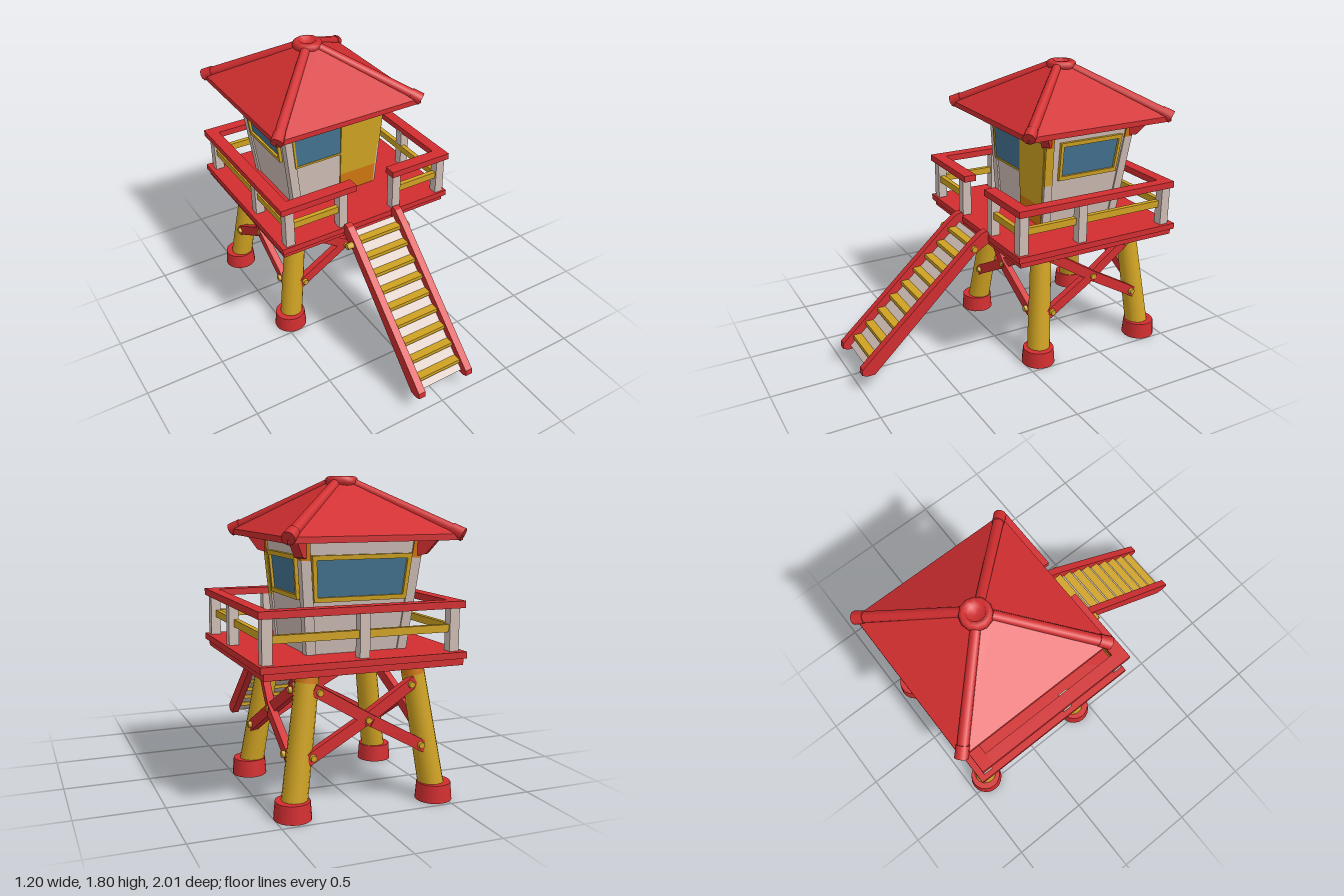
import * as THREE from 'three';

const mat = (name, color) => {
  const m = new THREE.MeshStandardMaterial({ color });
  m.name = name;
  return m;
};
const V = (x, y, z) => new THREE.Vector3(x, y, z);
const lerp = THREE.MathUtils.lerp;

export function createModel() {
  const red = mat('red paint', 0xd22e30), yellow = mat('yellow paint', 0xcfa222);
  const white = mat('off-white paint', 0xcebcb4), blue = mat('window blue', 0x437390);
  const orange = mat('worn orange', 0xd07810);
  const root = new THREE.Group();
  root.name = 'lifeguardTower';

  const add = (name, geo, material, parent = root) => {
    const m = new THREE.Mesh(geo, material);
    m.name = name;
    parent.add(m);
    return m;
  };
  // Box given by its limits on each axis
  const box = (name, material, x0, x1, y0, y1, z0, z1) => {
    const m = add(name, new THREE.BoxGeometry(x1 - x0, y1 - y0, z1 - z0), material);
    m.position.set((x0 + x1) / 2, (y0 + y1) / 2, (z0 + z1) / 2);
  };
  // Round bar from a (radius ra) to b (radius rb)
  const rod = (name, material, a, b, ra, rb = ra, sides = 12) => {
    const m = add(name, new THREE.CylinderGeometry(rb, ra, a.distanceTo(b), sides), material);
    m.position.copy(a).lerp(b, 0.5);
    m.quaternion.setFromUnitVectors(V(0, 1, 0), b.clone().sub(a).normalize());
  };
  // Square bar from a to b
  const beam = (name, material, a, b, w, h) => {
    const m = add(name, new THREE.BoxGeometry(w, h, a.distanceTo(b)), material);
    m.position.copy(a).lerp(b, 0.5);
    m.lookAt(b);
  };

  // Splayed legs with round feet
  const CX = -0.026, CZ = -0.49;
  const legX = (y) => lerp(0.424, 0.31, y / 0.77), legZ = (y) => lerp(0.39, 0.315, y / 0.77);
  const corners = [[-1, -1], [1, -1], [1, 1], [-1, 1]];
  for (const [sx, sz] of corners) {
    const at = (y) => V(CX + sx * legX(y), y, CZ + sz * legZ(y));
    rod('leg', yellow, at(0.05), at(0.715), 0.073, 0.065, 16);
    rod('legTop', orange, at(0.715), at(0.79), 0.065, 0.063, 16);
    const f = at(0);
    rod('foot', red, f, V(f.x, 0.1, f.z), 0.104, 0.096, 20);
  }

  // Crossed braces, bowed outward, with bolts on all four sides
  for (let k = 0; k < 4; k++) {
    const along = k % 2 ? legZ : legX, out = k % 2 ? legX : legZ;
    const a = k * Math.PI / 2;
    const place = (s, y, off) => {
      const p = V(s * (along(y) - 0.055), y, out(y) + off).applyAxisAngle(V(0, 1, 0), a);
      return p.add(V(CX, 0, CZ));
    };
    const n = V(0, 0, 1).applyAxisAngle(V(0, 1, 0), a);
    const bolt = (p, length) => rod('braceBolt', yellow, p, p.clone().addScaledVector(n, length), 0.024, 0.018, 8);
    for (const s of [-1, 1]) {
      const low = place(s, 0.33, 0.042), high = place(-s, 0.67, 0.042);
      const mid = low.clone().lerp(high, 0.5).addScaledVector(n, 0.016 + s * 0.006).add(V(0, -0.006, 0));
      const ext = low.clone().sub(mid).multiplyScalar(0.1);
      beam('brace', red, low.clone().add(ext), mid, 0.042, 0.064);
      beam('brace', red, mid, high.clone().sub(ext), 0.042, 0.064);
      bolt(low, 0.04);
      bolt(high, 0.04);
    }
    bolt(V(CX, 0.502, CZ).addScaledVector(n, out(0.502) + 0.055), 0.036);
  }

  // Two-layer deck
  box('deckBase', red, -0.585, 0.575, 0.77, 0.812, -0.94, 0.14);
  box('deck', red, -0.6, 0.595, 0.808, 0.845, -0.952, 0.16);

  // Railing: posts, top rails and middle rails, with a gap for the stairs
  const X0 = -0.54, X1 = 0.545, ZF = 0.118, ZB = -0.885;
  const posts = [[X0, ZF], [-0.175, ZF], [0.21, ZF], [X1, ZF], [X1, -0.28], [X1, ZB],
    [0, ZB], [X0, ZB], [X0, -0.28]];
  for (const [x, z] of posts) box('railPost', white, x - 0.029, x + 0.029, 0.845, 1.09, z - 0.029, z + 0.029);
  const T = [1.085, 1.125], M = [0.952, 0.995];
  box('frontRail', red, -0.6, -0.09, ...T, 0.083, 0.162);
  box('frontRail', red, 0.17, 0.595, ...T, 0.083, 0.162);
  box('backRail', red, -0.6, 0.595, ...T, -0.925, -0.85);
  box('sideRail', red, -0.6, -0.525, ...T, -0.85, 0.083);
  box('sideRail', red, 0.525, 0.595, ...T, -0.85, 0.083);
  box('middleRail', yellow, X0, -0.175, ...M, 0.105, 0.135);
  box('middleRail', yellow, 0.21, X1, ...M, 0.105, 0.135);
  box('middleRail', yellow, X0, X1, ...M, -0.9, -0.87);
  for (const x of [X0, 0.53]) box('middleRail', yellow, x - 0.015, x + 0.015, ...M, ZB, ZF);

  // Cabin, widening upward; panels follow the sloping walls
  const cabin = new THREE.Group();
  cabin.name = 'cabin';
  cabin.position.x = -0.034;
  root.add(cabin);
  const Y0 = 0.845, Y1 = 1.5;
  const rise = (y) => (y - Y0) / 0.615;
  const halfW = (y) => lerp(0.29, 0.352, rise(y)), halfD = (y) => lerp(0.264, 0.308, rise(y));
  const midZ = (y) => lerp(-0.465, -0.49, rise(y));
  // Moves each vertex of a box by a rule, then refreshes its normals
  const reshape = (g, rule) => {
    const p = g.attributes.position;
    for (let i = 0; i < p.count; i++) p.setXYZ(i, ...rule(p.getX(i), p.getY(i), p.getZ(i)));
    g.computeVertexNormals();
    return g;
  };
  const panel = (name, material, k, u0, u1, y0, y1, out, depth = 0.009) => {
    const W = k % 2 ? halfD : halfW, D = k % 2 ? halfW : halfD;
    const g = reshape(new THREE.BoxGeometry(1, 1, 1), (a, b, c) => {
      const y = lerp(y0, y1, b + 0.5);
      return [lerp(u0, u1, a + 0.5) * W(y), y, D(y) + out + (c - 0.5) * depth];
    });
    g.rotateY(k * Math.PI / 2);
    add(name, reshape(g, (x, y, z) => [x, y, z + midZ(y)]), material, cabin);
  };
  add('cabinWalls', reshape(new THREE.BoxGeometry(2, Y1 - Y0, 2), (x, b, z) => {
    const y = b + (Y0 + Y1) / 2;
    return [x * halfW(y), y, midZ(y) + z * halfD(y)];
  }), white, cabin);

  // Windows framed in yellow
  const framedWindow = (k, u0, u1, y0, y1) => {
    const f = 0.07, h = 0.026;
    panel('windowGlass', blue, k, u0, u1, y0, y1, 0.005);
    panel('windowFrameTop', yellow, k, u0 - f, u1 + f, y1, y1 + h, 0.02, 0.03);
    panel('windowFrameBottom', yellow, k, u0 - f, u1 + f, y0 - h, y0, 0.02, 0.03);
    panel('windowFrameSide', yellow, k, u0 - f, u0, y0, y1, 0.02, 0.03);
    panel('windowFrameSide', yellow, k, u1, u1 + f, y0, y1, 0.02, 0.03);
  };
  framedWindow(1, -0.63, 0.69, 1.17, 1.36);
  framedWindow(3, -0.69, 0.63, 1.17, 1.36);
  framedWindow(2, -0.78, 0.78, 1.16, 1.36);
  panel('frontWindowGlass', blue, 0, -0.85, 0.11, 1.145, 1.36, 0.012);
  panel('frontLintel', yellow, 0, -0.9, 0.92, 1.36, 1.385, 0.018, 0.03);
  panel('frontWindowSide', yellow, 0, -0.89, -0.85, 1.132, 1.36, 0.018, 0.02);
  panel('frontWindowSill', yellow, 0, -0.85, 0.12, 1.132, 1.145, 0.016, 0.02);
  panel('door', yellow, 0, 0.12, 0.98, 0.98, 1.36, 0.015);
  panel('doorWornBase', orange, 0, 0.12, 0.98, 0.845, 0.98, 0.015);

  // Corner posts with worn tops, and brackets carrying the roof
  const bracket = new THREE.Shape([[0, 1.37], [0.045, 1.38], [0.12, 1.47], [0, 1.47]].map(([x, y]) => new THREE.Vector2(x, y)));
  for (const [sx, sz] of corners) {
    const at = (y) => V(sx * (halfW(y) - 0.018), y, midZ(y) + sz * (halfD(y) - 0.018));
    const post = (name, material, a, b) => add(name, reshape(new THREE.BoxGeometry(0.056, b - a, 0.056), (x, h, z) => {
      const q = at(h + (a + b) / 2);
      return [x + q.x, q.y, z + q.z];
    }), material, cabin);
    post('cornerPost', white, 0.845, 1.12);
    post('cornerPost', sx > 0 && sz > 0 ? yellow : white, 1.12, 1.36);
    post('cornerPostTop', orange, 1.36, 1.47);
    const g = new THREE.ExtrudeGeometry(bracket, { depth: 0.05, bevelEnabled: false });
    g.translate(0, 0, -0.025);
    const b = add('roofBracket', g, red, cabin);
    b.rotation.y = Math.atan2(-sz, sx);
    const q = at(1.42);
    b.position.set(q.x + sx * 0.012, 0, q.z + sz * 0.012);
  }

  // Hipped roof with round ridges and a ring on top
  const RX = -0.039, RZ = -0.478;
  box('roofEave', red, RX - 0.495, RX + 0.495, 1.462, 1.495, RZ - 0.505, RZ + 0.505);
  const hip = new THREE.CylinderGeometry(0.06 * Math.SQRT2, 0.495 * Math.SQRT2, 0.275, 4, 1).toNonIndexed();
  hip.rotateY(Math.PI / 4);
  hip.scale(1, 1, 1.02);
  hip.computeVertexNormals();
  add('roof', hip, red).position.set(RX, 1.6325, RZ);
  for (const [sx, sz] of corners) {
    const p = (d, y) => V(RX + sx * d, y, RZ + sz * d * 1.02);
    rod('roofRidge', red, p(0.48, 1.5), p(0.05, 1.762), 0.033, 0.029, 10);
    rod('ridgeEnd', red, p(0.496, 1.489), p(0.45, 1.52), 0.039, 0.036, 10);
  }
  const ring = [[0, 1.72], [0.075, 1.74], [0.094, 1.765], [0.09, 1.79], [0.075, 1.8], [0.052, 1.8], [0.045, 1.775], [0, 1.772]];
  add('roofRing', new THREE.LatheGeometry(ring.map(([x, y]) => new THREE.Vector2(x, y)), 12), red).position.set(RX, 0, RZ - 0.012);

  // Stairs: stringers, back plate, treads and bolts
  const side = new THREE.Shape([[0.13, 0.81], [0.165, 0.875], [0.2, 0.865], [0.265, 0.815], [0.995, 0.15],
    [1, 0.115], [0.97, 0.1], [0.92, 0.1], [0.255, 0.735]].map(([z, y]) => new THREE.Vector2(-z, y)));
  for (const x of [-0.178, 0.17]) {
    const g = new THREE.ExtrudeGeometry(side, { depth: 0.046, bevelEnabled: false });
    g.rotateY(Math.PI / 2);
    add('stairStringer', g, red).position.x = x;
  }
  beam('stairBackPlate', white, V(0.018, 0.805, 0.175), V(0.018, 0.118, 0.945), 0.31, 0.02);
  for (let i = 0; i < 9; i++) {
    const z = lerp(0.235, 0.9, i / 8), y = lerp(0.775, 0.18, i / 8);
    box('stairTread', yellow, -0.135, 0.172, y - 0.012, y + 0.012, z - 0.066, z + 0.028);
  }
  rod('stairBolt', yellow, V(-0.22, 0.775, 0.255), V(-0.17, 0.775, 0.255), 0.02, 0.022, 10);
  rod('stairBolt', yellow, V(0.2, 0.775, 0.255), V(0.232, 0.775, 0.255), 0.022, 0.02, 10);

  return root;
}
